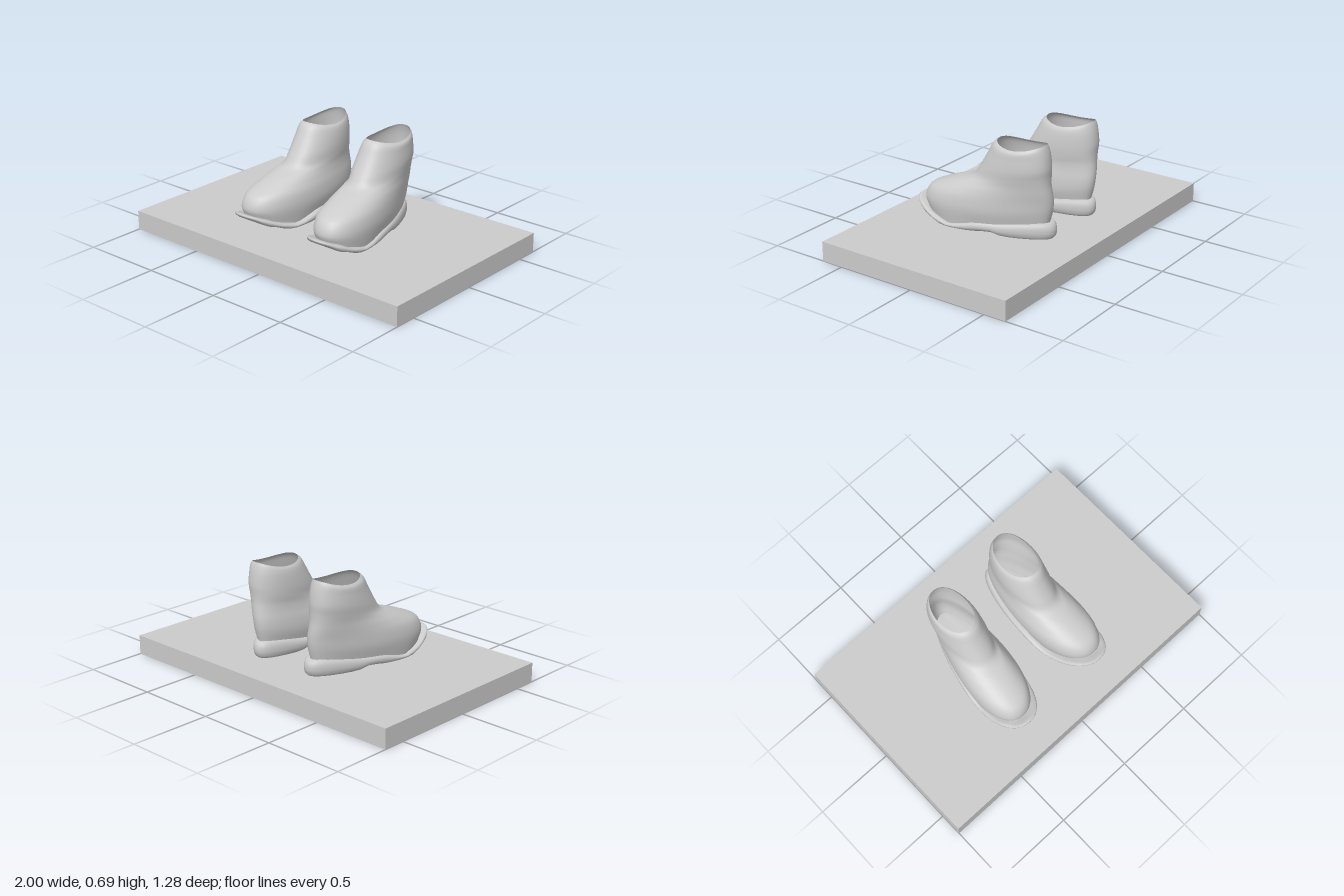
import * as THREE from 'three';

const COLS = 48;
const material = new THREE.MeshStandardMaterial({ color: 0xcccccc, side: THREE.DoubleSide });

// Smooth height profile through [z, y] points sorted by z
function profile(points) {
  return (z) => {
    let i = 0;
    while (i < points.length - 2 && z > points[i + 1][0]) i++;
    const [z0, y0] = points[i], [z1, y1] = points[i + 1];
    return THREE.MathUtils.lerp(y0, y1, THREE.MathUtils.smootherstep(z, z0, z1) * 0.4 +
      THREE.MathUtils.clamp((z - z0) / (z1 - z0), 0, 1) * 0.6);
  };
}
const soleTop = profile([[-0.42, 0.215], [-0.36, 0.222], [0, 0.185], [0.19, 0.142], [0.3, 0.17], [0.4, 0.212], [0.48, 0.245]]);
const soleBottom = profile([[-0.42, 0.122], [-0.15, 0.12], [-0.07, 0.138], [0.08, 0.121], [0.24, 0.12], [0.36, 0.158], [0.48, 0.22]]);

// Foot-shaped loop point: wider at the ball, narrower at the heel
function footPoint(t, { front, back, cx, hw, taper = 0, shift = 0 }) {
  const u = Math.cos(t), s = Math.sin(t);
  const round = Math.sign(s) * Math.pow(Math.abs(s), 0.9);
  return { u, x: cx + shift * u + round * hw * (1 + taper * u), z: (front + back) / 2 + u * (front - back) / 2 };
}

// Closed-loop loft: rows of points from bottom to top, mirrored for side = -1
function loft(name, rows, side) {
  const position = [], index = [];
  rows.forEach((row) => row.forEach((p) => position.push(p.x * side, p.y, p.z)));
  for (let r = 0; r < rows.length - 1; r++) {
    for (let i = 0; i < COLS; i++) {
      const a = r * COLS + i, b = r * COLS + (i + 1) % COLS, c = a + COLS, d = b + COLS;
      if (side > 0) index.push(a, b, c, b, d, c);
      else index.push(a, c, b, b, c, d);
    }
  }
  const geometry = new THREE.BufferGeometry();
  geometry.setAttribute('position', new THREE.Float32BufferAttribute(position, 3));
  geometry.setIndex(index);
  geometry.computeVertexNormals();
  const mesh = new THREE.Mesh(geometry, material);
  mesh.name = name;
  return mesh;
}
const angles = Array.from({ length: COLS }, (_, i) => (i / COLS) * Math.PI * 2);

// Sole with rounded edge: [inset, share of thickness, width share]
function makeSole(side) {
  const rings = [[0.03, 0, 0], [0.03, 0, 0.5], [0.02, 0, 1], [0.006, 0.15, 1], [0, 0.4, 1],
    [0, 0.65, 1], [0.006, 0.88, 1], [0.02, 1, 1], [0.04, 0.97, 0.5], [0.04, 0.97, 0]];
  const rows = rings.map(([inset, share, width]) => angles.map((t) => {
    const p = footPoint(t, { front: 0.478 - inset, back: -0.415 + inset, cx: 0.245,
      hw: (0.168 - inset) * width, taper: 0.24, shift: 0.04 });
    return new THREE.Vector3(p.x, THREE.MathUtils.lerp(soleBottom(p.z), soleTop(p.z), share), p.z);
  }));
  return loft('sole', rows, side);
}

// Upper: tilted loops from the welt over the toe and instep to the open collar
function makeUpper(side) {
  // front z, front y, back z, back y, centre x, half width, taper, shift, sideways bow in y
  const loops = [
    [0.41, 0, -0.375, 0, 0.25, 0.143, 0.24, 0.035, 0],
    [0.425, 0.25, -0.395, 0.29, 0.25, 0.16, 0.22, 0.035, -0.02],
    [0.395, 0.318, -0.40, 0.35, 0.25, 0.156, 0.18, 0.03, -0.01],
    [0.31, 0.362, -0.397, 0.40, 0.25, 0.142, 0.1, 0.02, 0],
    [0.20, 0.402, -0.392, 0.45, 0.247, 0.131, 0.03, 0.01, 0],
    [0.11, 0.434, -0.392, 0.50, 0.245, 0.129, 0, 0.005, 0],
    [0.06, 0.50, -0.395, 0.55, 0.245, 0.13, 0, 0, 0],
    [0.005, 0.59, -0.387, 0.625, 0.245, 0.123, 0, 0, -0.01],
    [-0.033, 0.655, -0.376, 0.67, 0.247, 0.115, 0, 0, -0.025],
    [-0.058, 0.675, -0.368, 0.69, 0.246, 0.102, 0, 0, -0.028],
  ];
  const columns = angles.map((t) => {
    const points = loops.map(([front, frontY, back, backY, cx, hw, taper, shift, bow], k) => {
      const p = footPoint(t, { front, back, cx, hw, taper, shift });
      const y = k === 0 ? soleTop(p.z) - 0.012
        : THREE.MathUtils.lerp(backY, frontY, (p.u + 1) / 2) + bow * (1 - p.u * p.u);
      return new THREE.Vector3(p.x, y, p.z);
    });
    return new THREE.CatmullRomCurve3(points, false, 'centripetal').getPoints(36);
  });
  return loft('upper', columns[0].map((_, r) => columns.map((column) => column[r])), side);
}

export function createModel() {
  const model = new THREE.Group();
  model.name = 'bootsOnPlinth';

  // Display slab
  const slab = new THREE.Mesh(new THREE.BoxGeometry(2, 0.12, 1.28), new THREE.MeshStandardMaterial({ color: 0xcccccc }));
  slab.name = 'slab';
  slab.position.y = 0.06;
  model.add(slab);

  // Pair of ankle boots
  for (const side of [1, -1]) {
    const boot = new THREE.Group();
    boot.name = side > 0 ? 'leftBoot' : 'rightBoot';
    boot.add(makeSole(side), makeUpper(side));
    model.add(boot);
  }
  return model;
}
